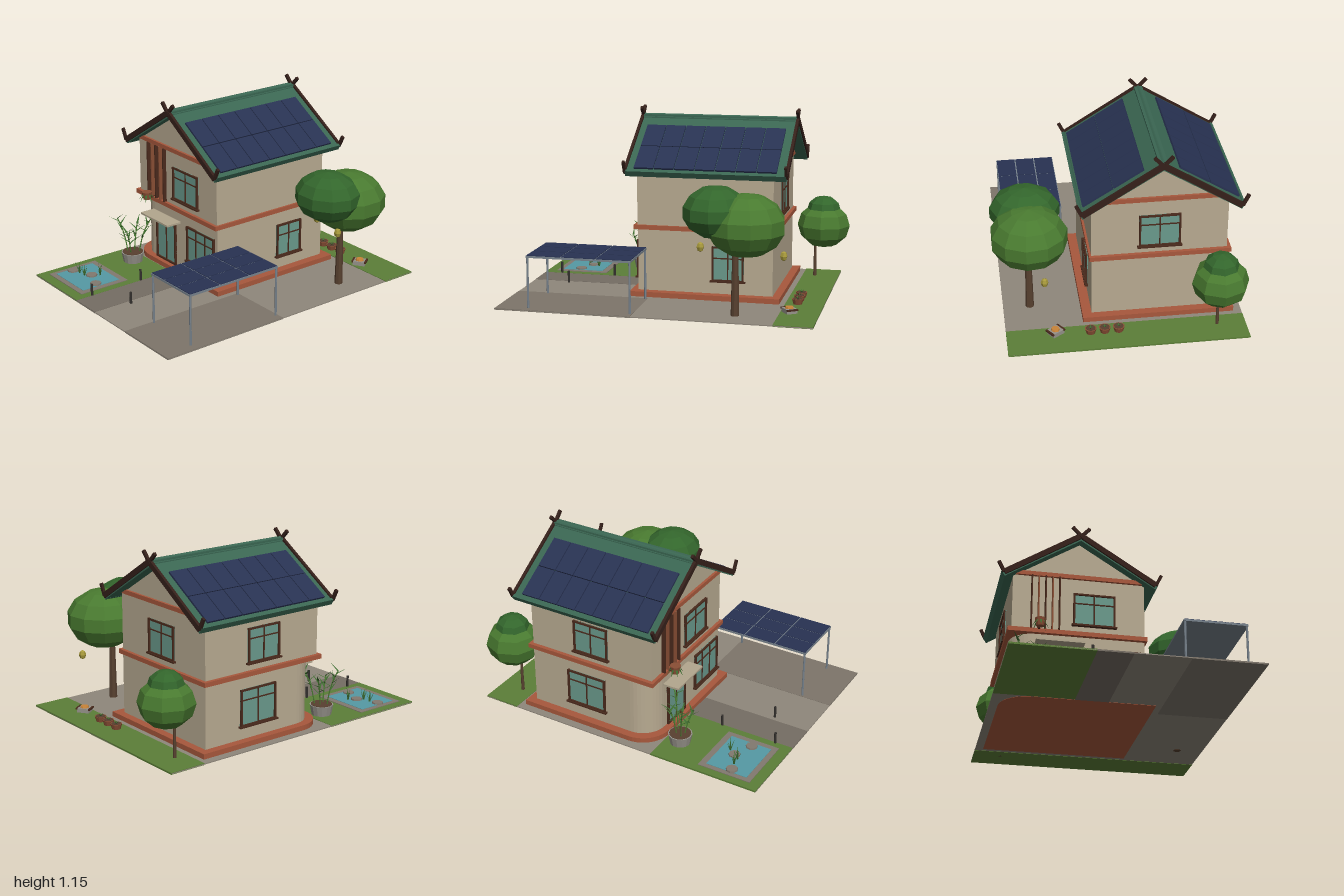
import * as THREE from 'three';

const mat = (color, double = false) => new THREE.MeshStandardMaterial({
  color, flatShading: true, side: double ? THREE.DoubleSide : THREE.FrontSide });
const M = {
  wall: mat(0xb8aa91), trim: mat(0xa8583c), wood: mat(0x4a2a1c), dark: mat(0x35201a), roof: mat(0x3a6652),
  glass: mat(0x6a9a8c), panel: mat(0x283252), metal: mat(0x77828c), lawn: mat(0x5c7f38), paving: mat(0x8f877b),
  path: mat(0x756d63), pad: mat(0x7d756a), water: mat(0x559aa4), stone: mat(0x82796f), pot: mat(0x96928a),
  soil: mat(0x59402f), bark: mat(0x57402f), leafDark: mat(0x33662c), leaf: mat(0x497a30), blade: mat(0x3d6b30, true),
  fruit: mat(0xa89a3c), orange: mat(0xc98438), bollard: mat(0x33302d), canopy: mat(0xb3a78e), clay: mat(0x8a4f35),
};

function add(parent, name, geo, material, x = 0, y = 0, z = 0) {
  const mesh = new THREE.Mesh(geo, material);
  mesh.name = name;
  mesh.position.set(x, y, z);
  parent.add(mesh);
  return mesh;
}

function group(parent, name, x = 0, y = 0, z = 0) {
  const g = new THREE.Group();
  g.name = name;
  g.position.set(x, y, z);
  parent.add(g);
  return g;
}

// Box given by its limits on each axis
const span = (parent, name, m, x0, x1, y0, y1, z0, z1) => add(parent, name,
  new THREE.BoxGeometry(x1 - x0, y1 - y0, z1 - z0), m, (x0 + x1) / 2, (y0 + y1) / 2, (z0 + z1) / 2);

// Straight board between two points in the xy plane
function board(parent, name, m, a, b, width, depth, z) {
  const dx = b[0] - a[0], dy = b[1] - a[1];
  const mesh = add(parent, name, new THREE.BoxGeometry(Math.hypot(dx, dy), width, depth), m,
    (a[0] + b[0]) / 2, (a[1] + b[1]) / 2, z);
  mesh.rotation.z = Math.atan2(dy, dx);
  return mesh;
}

// Rectangular plan with one rounded front corner, extruded upward
function roundedPlan(x0, x1, zBack, zFront, r, height) {
  const s = new THREE.Shape();
  s.moveTo(x0 + r, -zFront);
  s.lineTo(x1, -zFront);
  s.lineTo(x1, -zBack);
  s.lineTo(x0, -zBack);
  s.lineTo(x0, -zFront + r);
  s.absarc(x0 + r, -zFront + r, r, Math.PI, Math.PI * 1.5, false);
  return new THREE.ExtrudeGeometry(s, { depth: height, bevelEnabled: false, curveSegments: 5 }).rotateX(-Math.PI / 2);
}

// Framed glazing facing +z; transom is the bar height as a share of the whole
function glazing(parent, name, x, y, z, w, h, cols, transom, turn = 0, sill = true) {
  const g = group(parent, name, x, y, z), f = 0.011;
  g.rotation.y = turn;
  span(g, 'glass', M.glass, -w / 2, w / 2, -h / 2, h / 2, -0.01, 0.004);
  for (const s of [-1, 1]) {
    add(g, 'frameSide', new THREE.BoxGeometry(f, h, 0.03), M.wood, s * (w - f) / 2);
    add(g, 'frameEnd', new THREE.BoxGeometry(w, f, 0.029), M.wood, 0, s * (h - f) / 2);
  }
  for (let i = 1; i < cols; i++) add(g, 'mullion', new THREE.BoxGeometry(0.007, h, 0.02), M.wood, w * (i / cols - 0.5));
  if (transom) add(g, 'transom', new THREE.BoxGeometry(w, 0.007, 0.019), M.wood, 0, h * (transom - 0.5));
  if (sill) add(g, 'sill', new THREE.BoxGeometry(w + 0.02, 0.01, 0.045), M.wood, 0, -h / 2);
}

// Faceted foliage ball
function foliage(parent, m, x, y, z, rx, ry, rz, sides, rows) {
  add(parent, 'foliage', new THREE.SphereGeometry(1, sides, rows), m, x, y, z).scale.set(rx, ry, rz);
}

// Thin pointed leaf leaning out from its base
function leaf(parent, x, y, z, length, width, turn, lean) {
  const geo = new THREE.ConeGeometry(width, length, 4).translate(0, length / 2, 0).scale(1, 1, 0.3);
  const mesh = add(parent, 'leaf', geo, M.blade, x, y, z);
  mesh.rotation.set(lean, turn, 0, 'YXZ');
}

function buildGrounds(root) {
  const g = group(root, 'grounds');
  span(g, 'paving', M.paving, -0.76, 0.69, 0.002, 0.008, -0.93, 1);
  span(g, 'backLawn', M.lawn, -0.76, 0.69, 0, 0.011, -0.93, -0.695);
  span(g, 'frontLawn', M.lawn, -0.76, -0.275, 0, 0.011, 0.29, 1);
  span(g, 'path', M.path, -0.275, -0.07, 0, 0.01, 0.28, 1);
  span(g, 'parkingPad', M.pad, 0.255, 0.69, 0, 0.01, 0.155, 1);
  span(g, 'pondBorder', M.stone, -0.71, -0.325, 0.002, 0.015, 0.59, 0.935);
  span(g, 'pondWater', M.water, -0.68, -0.36, 0, 0.017, 0.63, 0.9);
  for (const [x, z] of [[-0.655, 0.79], [-0.52, 0.735], [-0.395, 0.785]])
    add(g, 'steppingStone', new THREE.CylinderGeometry(0.035, 0.037, 0.012, 9), M.stone, x, 0.02, z);
  [[-0.6, 0.775], [-0.55, 0.77], [-0.49, 0.69]].forEach(([x, z], k) => {
    for (let i = 0; i < 6; i++) leaf(g, x, 0.015, z, 0.06 + 0.013 * ((i + k) % 3), 0.006, i * 1.05 + k, 0.15 + 0.12 * (i % 3));
  });
  for (const [x, z] of [[-0.28, 0.52], [-0.035, 0.76], [-0.28, 0.885]])
    add(g, 'pathLight', new THREE.CylinderGeometry(0.008, 0.008, 0.075, 8), M.bollard, x, 0.047, z);
}

function buildHouse(root) {
  const g = group(root, 'house');
  add(g, 'plinth', roundedPlan(-0.71, 0.217, -0.66, 0.283, 0.18, 0.04), M.trim);
  add(g, 'groundFloor', roundedPlan(-0.66, 0.16, -0.61, 0.24, 0.15, 0.41), M.wall, 0, 0.03, 0);
  span(g, 'floorBand', M.trim, -0.684, 0.174, 0.427, 0.455, -0.632, 0.265);
  const s = new THREE.Shape();
  [[-0.66, 0.44], [0.16, 0.44], [0.16, 0.81], [-0.25, 1.07], [-0.66, 0.81]].forEach(([x, y], i) => i ? s.lineTo(x, y) : s.moveTo(x, y));
  add(g, 'upperFloor', new THREE.ExtrudeGeometry(s, { depth: 0.855, bevelEnabled: false }), M.wall, 0, 0, -0.61);
  for (const z of [-0.612, 0.247]) span(g, 'gableBand', M.trim, -0.655, 0.155, 0.813, 0.84, z - 0.014, z + 0.014);
  for (let i = 0; i < 5; i++) {
    const x = -0.543 + i * 0.043;
    span(g, 'screenFin', i % 2 ? M.clay : M.wood, x - 0.004, x + 0.004, 0.455, 0.815, 0.24, 0.27);
  }
  glazing(g, 'frontUpperWindow', -0.155, 0.608, 0.245, 0.26, 0.215, 2, 0.69);
  glazing(g, 'frontLowerWindow', -0.008, 0.235, 0.24, 0.285, 0.238, 3, 0.7);
  glazing(g, 'frontDoor', -0.375, 0.19, 0.24, 0.21, 0.3, 2, 0, 0, false);
  glazing(g, 'backWindow', -0.25, 0.608, -0.61, 0.25, 0.215, 2, 0.69, Math.PI);
  glazing(g, 'leftWindow', 0.16, 0.23, -0.33, 0.2, 0.22, 2, 0.66, Math.PI / 2);
  glazing(g, 'rightUpperWindow', -0.66, 0.608, -0.18, 0.24, 0.215, 2, 0.69, -Math.PI / 2);
  glazing(g, 'rightLowerWindow', -0.66, 0.235, -0.22, 0.27, 0.23, 2, 0.7, -Math.PI / 2);
  span(g, 'doorCanopy', M.canopy, -0.52, -0.225, 0.344, 0.356, 0.23, 0.345);

  // Planter on the screen
  add(g, 'hangingPot', new THREE.CylinderGeometry(0.034, 0.024, 0.05, 9), M.clay, -0.495, 0.473, 0.31);
  span(g, 'planterBracket', M.wood, -0.5, -0.49, 0.45, 0.46, 0.25, 0.31);
  for (let i = 0; i < 8; i++) leaf(g, -0.495 + 0.022 * Math.sin(i * 0.785), 0.49, 0.31 + 0.022 * Math.cos(i * 0.785), 0.06, 0.009, i * 0.785, 2.6);
}

function buildRoof(root) {
  const roof = group(root, 'roof', -0.25, 1.09, 0);
  const pitch = Math.atan2(0.295, 0.475), run = Math.hypot(0.295, 0.475);
  for (const side of [-1, 1]) {
    // A slope's local x runs down from the ridge
    const slope = group(roof, 'roofSlope');
    slope.rotation.set(0, side > 0 ? 0 : Math.PI, -pitch, 'YXZ');
    const flip = (z) => z * side;
    const slab = add(slope, 'roofSlab', new THREE.BoxGeometry(run, 0.03, 1), M.roof, run / 2, -0.012, flip(-0.195));
    slab.name = 'roofSlab';
    add(slope, 'eaveBoard', new THREE.BoxGeometry(0.018, 0.04, 1), M.roof, run, -0.008, flip(-0.195));
    for (let i = 0; i < 7; i++) for (let j = 0; j < 2; j++)
      add(slope, 'solarPanel', new THREE.BoxGeometry(0.207, 0.012, 0.122), M.panel, 0.22 + j * 0.212, 0.012, flip(-0.637 + 0.064 + i * 0.1275));
    // Gable boards with upturned tips and crossed finials
    for (const z of [-0.695, 0.308]) {
      const p = [[-0.506, -0.228], [-0.472, -0.298], [0, 0], [0.054, 0.056]].map(([x, y]) => [-x * side, y]);
      board(roof, 'gableTip', M.dark, p[0], p[1], 0.02, 0.016, z);
      board(roof, 'gableBoard', M.dark, p[1], p[2], 0.034, 0.018, z);
      board(roof, 'crossedFinial', M.dark, [0.014 * side, -0.016], p[3], 0.02, 0.017, z + side * 0.002);
    }
  }
  const cap = new THREE.CylinderGeometry(0.034, 0.034, 1, 3).rotateX(Math.PI / 2);
  cap.rotateZ(Math.PI).scale(1, 0.4, 1);
  add(roof, 'ridgeCap', cap, M.roof, 0, 0.002, -0.195);
  span(roof, 'ridgeBoard', M.roof, -0.026, 0.026, -0.016, 0.01, -0.69, 0.3);
}

function buildCarport(root) {
  const g = group(root, 'carport');
  const [x0, x1, z0, z1] = [0.262, 0.645, 0.16, 0.81];
  for (const x of [x0 + 0.008, x1 - 0.008]) {
    for (const z of [z0 + 0.008, z1 - 0.008]) add(g, 'post', new THREE.CylinderGeometry(0.007, 0.007, 0.32, 8), M.metal, x, 0.165, z);
  }
  span(g, 'roofFrame', M.metal, x0, x1, 0.32, 0.332, z0, z1);
  const w = (x1 - x0) / 3, d = (z1 - z0) / 3;
  for (let i = 0; i < 3; i++) for (let j = 0; j < 3; j++)
    add(g, 'solarPanel', new THREE.BoxGeometry(w - 0.008, 0.008, d - 0.008), M.panel, x0 + w * (i + 0.5), 0.332, z0 + d * (j + 0.5));
}

function buildPlants(root) {
  // Fruit tree
  const big = group(root, 'fruitTree');
  add(big, 'trunk', new THREE.CylinderGeometry(0.018, 0.026, 0.42, 8), M.bark, 0.525, 0.21, -0.445);
  foliage(big, M.leaf, 0.52, 0.555, -0.505, 0.237, 0.19, 0.24, 11, 7);
  foliage(big, M.leafDark, 0.53, 0.628, -0.325, 0.217, 0.157, 0.195, 10, 7);
  for (const [x, y, z] of [[0.69, 0.45, -0.27], [0.45, 0.365, -0.72], [0.335, 0.395, -0.42]])
    add(big, 'fruit', new THREE.SphereGeometry(0.023, 6, 4), M.fruit, x, y, z).scale.y = 1.3;

  // Small tree
  const small = group(root, 'smallTree');
  add(small, 'trunk', new THREE.CylinderGeometry(0.007, 0.011, 0.3, 7), M.bark, -0.585, 0.15, -0.775);
  foliage(small, M.leaf, -0.582, 0.355, -0.828, 0.172, 0.15, 0.172, 8, 6);
  foliage(small, M.leafDark, -0.582, 0.46, -0.828, 0.11, 0.09, 0.11, 8, 6);

  // Bamboo in a pot
  const bamboo = group(root, 'pottedBamboo', -0.565, 0, 0.385);
  add(bamboo, 'pot', new THREE.CylinderGeometry(0.075, 0.062, 0.065, 14), M.pot, 0, 0.043, 0);
  add(bamboo, 'soil', new THREE.CylinderGeometry(0.067, 0.067, 0.006, 14), M.soil, 0, 0.076, 0);
  [[-0.08, 0.3, 0.06], [0.085, 0.31, -0.09], [-0.03, 0.25, -0.06], [0.04, 0.24, 0.07]].forEach(([x, y, z], k) => {
    const stem = new THREE.QuadraticBezierCurve3(new THREE.Vector3(x * 0.35, 0.07, z * 0.35),
      new THREE.Vector3(x * 0.5, y * 0.7, z * 0.5), new THREE.Vector3(x, y, z));
    add(bamboo, 'stem', new THREE.TubeGeometry(stem, 6, 0.004, 5), M.leaf);
    for (let i = 0; i < 7; i++) {
      const p = stem.getPoint(0.4 + i * 0.1);
      leaf(bamboo, p.x, p.y, p.z, 0.075, 0.008, i * 2.4 + k, 0.9 + 0.2 * (i % 2));
    }
  });

  // Row of pots on the back lawn
  for (const x of [0.015, 0.1, 0.185]) {
    const pot = group(root, 'gardenPot', x, 0, -0.77);
    add(pot, 'pot', new THREE.CylinderGeometry(0.036, 0.026, 0.036, 10), M.clay, 0, 0.026, 0);
    add(pot, 'soil', new THREE.CylinderGeometry(0.029, 0.029, 0.004, 10), M.soil, 0, 0.044, 0);
    for (let i = 0; i < 5; i++) leaf(pot, 0, 0.042, 0, 0.024, 0.006, i * 1.256, 0.8);
  }

  // Garden stove
  const stove = group(root, 'gardenStove', 0.395, 0, -0.75);
  stove.rotation.y = 0.6;
  span(stove, 'body', M.pot, -0.04, 0.04, 0.01, 0.038, -0.034, 0.034);
  add(stove, 'top', new THREE.CylinderGeometry(0.024, 0.028, 0.012, 8), M.orange, 0, 0.043, 0);
  for (const s of [-1, 1]) add(stove, 'handle', new THREE.BoxGeometry(0.012, 0.01, 0.07), M.wood, s * 0.042, 0.034, 0);
}

export function createModel() {
  const root = new THREE.Group();
  root.name = 'houseAndGarden';
  [buildGrounds, buildHouse, buildRoof, buildCarport, buildPlants].forEach((build) => build(root));
  return root;
}
